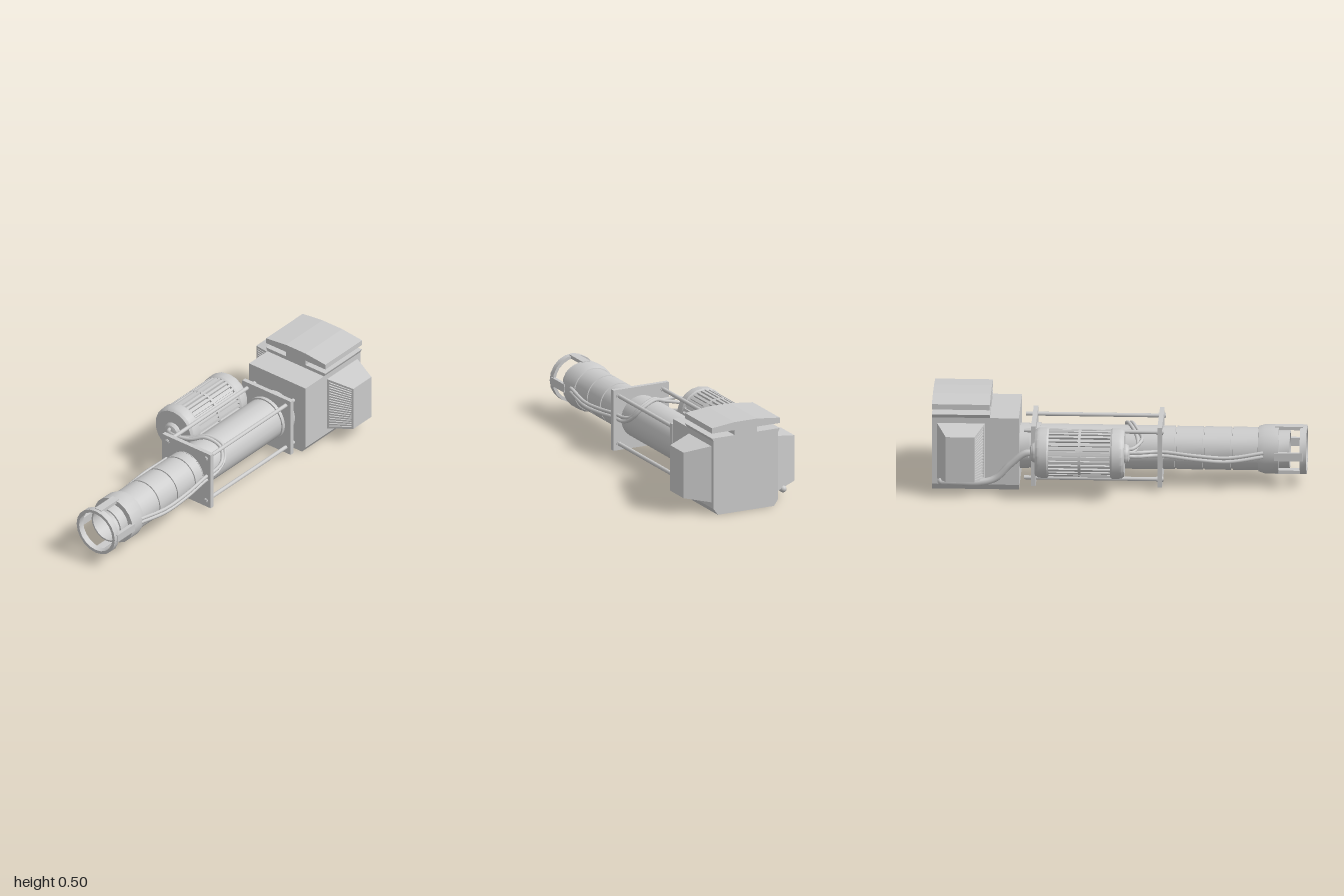
import * as THREE from 'three';
import { toCreasedNormals } from 'three/addons/utils/BufferGeometryUtils.js';

const CX = 0.025, CY = 0.192; // barrel axis
const material = new THREE.MeshStandardMaterial({ color: 0xcccccc });

function add(parent, name, geometry, x = 0, y = 0, z = 0) {
  const mesh = new THREE.Mesh(geometry, material);
  mesh.name = name;
  mesh.position.set(x, y, z);
  parent.add(mesh);
  return mesh;
}

function group(parent, name) {
  const g = new THREE.Group();
  g.name = name;
  parent.add(g);
  return g;
}

// Turned part along z from [radius, z] pairs, outside running towards +z
function turned(profile, sides) {
  const g = new THREE.LatheGeometry(profile.map(([r, z]) => new THREE.Vector2(r, z)), sides);
  return toCreasedNormals(g.rotateX(Math.PI / 2), 0.45);
}

function rod(radius, z0, z1, sides = 12) {
  return new THREE.CylinderGeometry(radius, radius, z1 - z0, sides)
    .rotateX(Math.PI / 2).translate(0, 0, (z0 + z1) / 2);
}

function tube(points, radius) {
  const curve = new THREE.CatmullRomCurve3(points.map(p => new THREE.Vector3(...p)));
  return new THREE.TubeGeometry(curve, 72, radius, 8);
}

function extruded(points, z0, z1) {
  const shape = new THREE.Shape(points.map(([x, y]) => new THREE.Vector2(x, y)));
  return new THREE.ExtrudeGeometry(shape, { depth: z1 - z0, bevelEnabled: false }).translate(0, 0, z0);
}

// Flat-shaded quads, corners counter-clockwise from outside
function quads(list) {
  const pos = [];
  for (const [a, b, c, d] of list)
    for (const p of [a, b, c, a, c, d]) pos.push(p.x, p.y, p.z);
  const g = new THREE.BufferGeometry();
  g.setAttribute('position', new THREE.Float32BufferAttribute(pos, 3));
  g.computeVertexNormals();
  return g;
}

// Tapered side pod on +x, or mirrored for side = -1
function buildPod(parent, side, name) {
  const pod = group(parent, name);
  const v = (x, y, z) => new THREE.Vector3(CX + side * (x - CX), y, z);
  const make = list => quads(side > 0 ? list : list.map(q => [...q].reverse()));
  const front = [v(0.215, 0.065, -0.715), v(0.36, 0.095, -0.767), v(0.36, 0.35, -0.767), v(0.215, 0.382, -0.715)];
  const back = [v(0.215, 0.065, -0.975), v(0.36, 0.095, -0.92), v(0.36, 0.35, -0.92), v(0.215, 0.382, -0.975)];
  // point on the sloping front face, pushed inwards by depth
  const at = (s, t, depth = 0) => {
    const low = front[0].clone().lerp(front[1], s), high = front[3].clone().lerp(front[2], s);
    const p = low.lerp(high, t);
    p.z -= depth;
    return p;
  };
  const loop = depth => [at(0.1, 0.045, depth), at(0.93, 0.045, depth), at(0.93, 0.955, depth), at(0.1, 0.955, depth)];
  const rim = loop(0), floor = loop(0.025);
  const shell = [[back[1], back[0], back[3], back[2]], floor];
  for (let i = 0; i < 4; i++) {
    const j = (i + 1) % 4;
    if (i < 3) shell.push([front[j], front[i], back[i], back[j]]);
    shell.push([front[i], front[j], rim[j], rim[i]], [rim[i], rim[j], floor[j], floor[i]]);
  }
  add(pod, 'podShell', make(shell));
  // louvres in the recess
  const slats = [];
  const count = 17;
  for (let i = 0; i < count; i++) {
    const t0 = 0.06 + 0.89 * i / count, t1 = t0 + 0.031;
    const a = at(0.1, t0, 0.003), b = at(0.93, t0, 0.003), c = at(0.93, t1, 0.003), d = at(0.1, t1, 0.003);
    const e = at(0.1, t0, 0.025), f = at(0.93, t0, 0.025), g = at(0.93, t1, 0.025), h = at(0.1, t1, 0.025);
    slats.push([a, b, c, d], [d, c, g, h], [b, a, e, f]);
  }
  add(pod, 'ventSlats', make(slats));
}

function buildHousing(root) {
  const housing = group(root, 'housing');
  const base = [[-0.17, 0.035], [-0.145, 0], [0.195, 0], [0.22, 0.035]];
  add(housing, 'housingFront', extruded([...base, [0.22, 0.412], [-0.17, 0.412]], -0.69, -0.535));
  // rear block with the slotted, arched top plate
  const half = [[0.22, 0.412], [0.23, 0.432], [0.093, 0.432], [0.093, 0.46], [0.23, 0.46], [0.23, 0.49], [0.093, 0.505]];
  const mirrored = half.map(([x, y]) => [2 * CX - x, y]).reverse();
  add(housing, 'housingRear', extruded([...base, ...half, ...mirrored], -1, -0.69));
  buildPod(housing, 1, 'leftPod');
  buildPod(housing, -1, 'rightPod');
}

function buildBarrel(root) {
  const barrel = group(root, 'barrel');
  const profile = [[0.122, -0.54], [0.122, -0.485], [0.118, -0.485], [0.118, 0.235], [0.116, 0.235]];
  for (const z of [0.3, 0.45, 0.6])
    profile.push([0.116, z - 0.005], [0.11, z - 0.004], [0.11, z + 0.004], [0.116, z + 0.005]);
  profile.push([0.116, 0.745]);
  add(barrel, 'barrelTube', turned(profile, 32), CX, CY);
  add(barrel, 'rearCollar', turned([[0.116, -0.445], [0.126, -0.445], [0.126, -0.425], [0.116, -0.425]], 32), CX, CY);
  // sleeve, inner tube and bore
  add(barrel, 'muzzleSleeve', turned([[0.115, 0.74], [0.122, 0.742], [0.132, 0.775], [0.132, 0.85], [0.102, 0.85],
    [0.102, 0.91], [0.093, 0.91], [0.093, 0.62], [0, 0.62]], 20), CX, CY);
  add(barrel, 'muzzleRing', turned([[0.132, 0.965], [0.132, 1], [0.115, 1], [0.115, 0.965], [0.132, 0.965]], 20), CX, CY);
  for (let i = 0; i < 4; i++) {
    const strut = add(barrel, 'muzzleStrut', new THREE.BoxGeometry(0.019, 0.045, 0.15).translate(0.1245, 0, 0.905), CX, CY);
    strut.rotation.z = i * Math.PI / 2;
  }
}

function buildFrame(root) {
  const frame = group(root, 'frame');
  for (const z of [0.218, -0.458])
    add(frame, 'squarePlate', new THREE.BoxGeometry(0.335, 0.338, 0.025), 0.023, 0.191, z);
  for (const x of [-0.11, 0.157])
    for (const y of [0.058, 0.325]) {
      add(frame, 'tieRod', rod(0.011, -0.51, 0.238), x, y);
      add(frame, 'rodCollar', rod(0.015, 0.2, 0.235), x, y);
    }
}

function buildMotor(root) {
  const motor = group(root, 'motor');
  motor.position.set(-0.229, 0.242, 0);
  add(motor, 'motorCore', rod(0.116, -0.39, -0.02, 24));
  // front cap with hub, and the same cap turned round for the rear
  const cap = [[0.11, -0.04], [0.13, -0.04], [0.135, -0.03], [0.135, 0.005], [0.132, 0.02], [0.122, 0.034], [0.053, 0.034],
    [0.053, 0.042], [0.045, 0.055], [0.028, 0.062], [0, 0.062]];
  add(motor, 'frontCap', turned(cap, 18));
  add(motor, 'rearCap', turned(cap, 18), 0, 0, -0.41).rotation.y = Math.PI;
  add(motor, 'middleBand', turned([[0.115, -0.212], [0.129, -0.212], [0.129, -0.198], [0.115, -0.198]], 24));
  const ribs = 32;
  for (let i = 0; i < ribs; i++) {
    const rib = add(motor, 'coolingRib', new THREE.BoxGeometry(0.022, 0.014, 0.35).translate(0.118, 0, -0.205));
    rib.rotation.z = (i + 0.5) * 2 * Math.PI / ribs;
  }
}

function buildCables(root) {
  const cables = group(root, 'cables');
  // point beside the barrel at an angle in degrees
  const around = (deg, z) => {
    const a = deg * Math.PI / 180;
    return [CX + 0.133 * Math.cos(a), CY + 0.133 * Math.sin(a), z];
  };
  for (const s of [-1, 1]) {
    const d = s * 0.011;
    add(cables, 'overBarrelCable', tube([[-0.235, 0.255 + d, 0.045], [-0.225, 0.26 + d, 0.08], [-0.155, 0.283 + d, 0.112 + d],
      around(125, 0.095 + d), around(90, 0.06 + d), around(50, 0.042 + d), around(20, 0.075 + d),
      [0.163, 0.212 + d, 0.14], [0.164, 0.205 + d, 0.25], [0.172, 0.19 + d, 0.4], [0.167, 0.178 + d, 0.58],
      [0.15, 0.2 + d, 0.77]], 0.01));
    add(cables, 'sideCable', tube([[-0.235, 0.24 + d, 0.045], [-0.222, 0.235 + d, 0.085], [-0.165, 0.215 + d, 0.11],
      [-0.122, 0.205 + d, 0.17], [-0.115, 0.203 + d, 0.24], [-0.13, 0.19 + d, 0.4], [-0.125, 0.178 + d, 0.58],
      [-0.1, 0.2 + d, 0.77]], 0.01));
  }
  // pipe from the motor's rear hub running under the pod
  add(cables, 'rearPipe', tube([[-0.229, 0.242, -0.45], [-0.229, 0.235, -0.5], [-0.227, 0.17, -0.58], [-0.226, 0.09, -0.66],
    [-0.226, 0.068, -0.74], [-0.226, 0.068, -0.85], [-0.226, 0.07, -0.95]], 0.019));
  add(cables, 'pipeEnd', new THREE.SphereGeometry(0.019, 12, 8), -0.226, 0.07, -0.95);
}

export function createModel() {
  const root = new THREE.Group();
  root.name = 'model';
  buildHousing(root);
  buildBarrel(root);
  buildFrame(root);
  buildMotor(root);
  buildCables(root);
  return root;
}
